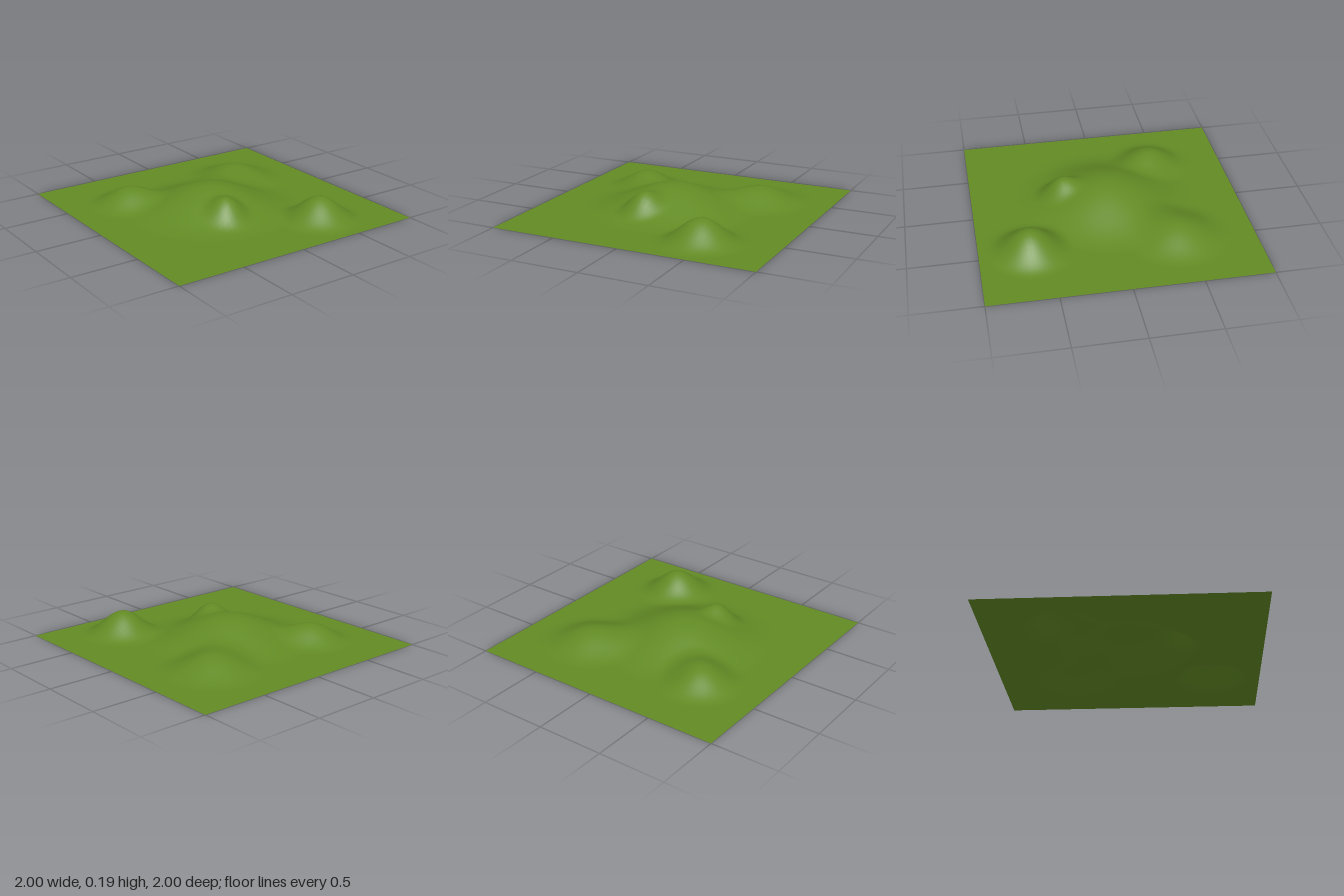
import * as THREE from 'three';

// Hills: centre x, z, radius, height
const HILLS = [
  { x: -0.07, z: 0.0, radius: 0.67, height: 0.186 },    // broad central hill
  { x: -0.16, z: 0.335, radius: 0.2, height: 0.095 },   // knoll on its front slope
  { x: 0.45, z: 0.63, radius: 0.32, height: 0.172 },    // front hill
  { x: -0.52, z: -0.43, radius: 0.32, height: 0.126 },  // back hill, right
  { x: 0.45, z: -0.43, radius: 0.4, height: 0.115 },    // back hill, left
];

// Each hill has a cosine profile; overlapping hills add up
function terrainHeight(x, z) {
  let y = 0;
  for (const h of HILLS) {
    const d = Math.hypot(x - h.x, z - h.z) / h.radius;
    if (d < 1) y += h.height * 0.5 * (1 + Math.cos(Math.PI * d));
  }
  return y;
}

export function createModel() {
  const group = new THREE.Group();
  group.name = 'hillyLandscape';

  // Square sheet of ground raised into hills
  const geometry = new THREE.PlaneGeometry(2, 2, 64, 64);
  geometry.rotateX(-Math.PI / 2);
  const pos = geometry.attributes.position;
  for (let i = 0; i < pos.count; i++) {
    pos.setY(i, terrainHeight(pos.getX(i), pos.getZ(i)));
  }
  geometry.computeVertexNormals();

  const grass = new THREE.MeshStandardMaterial({ color: 0x628a24, side: THREE.DoubleSide });
  const ground = new THREE.Mesh(geometry, grass);
  ground.name = 'grassyGround';
  group.add(ground);
  return group;
}
